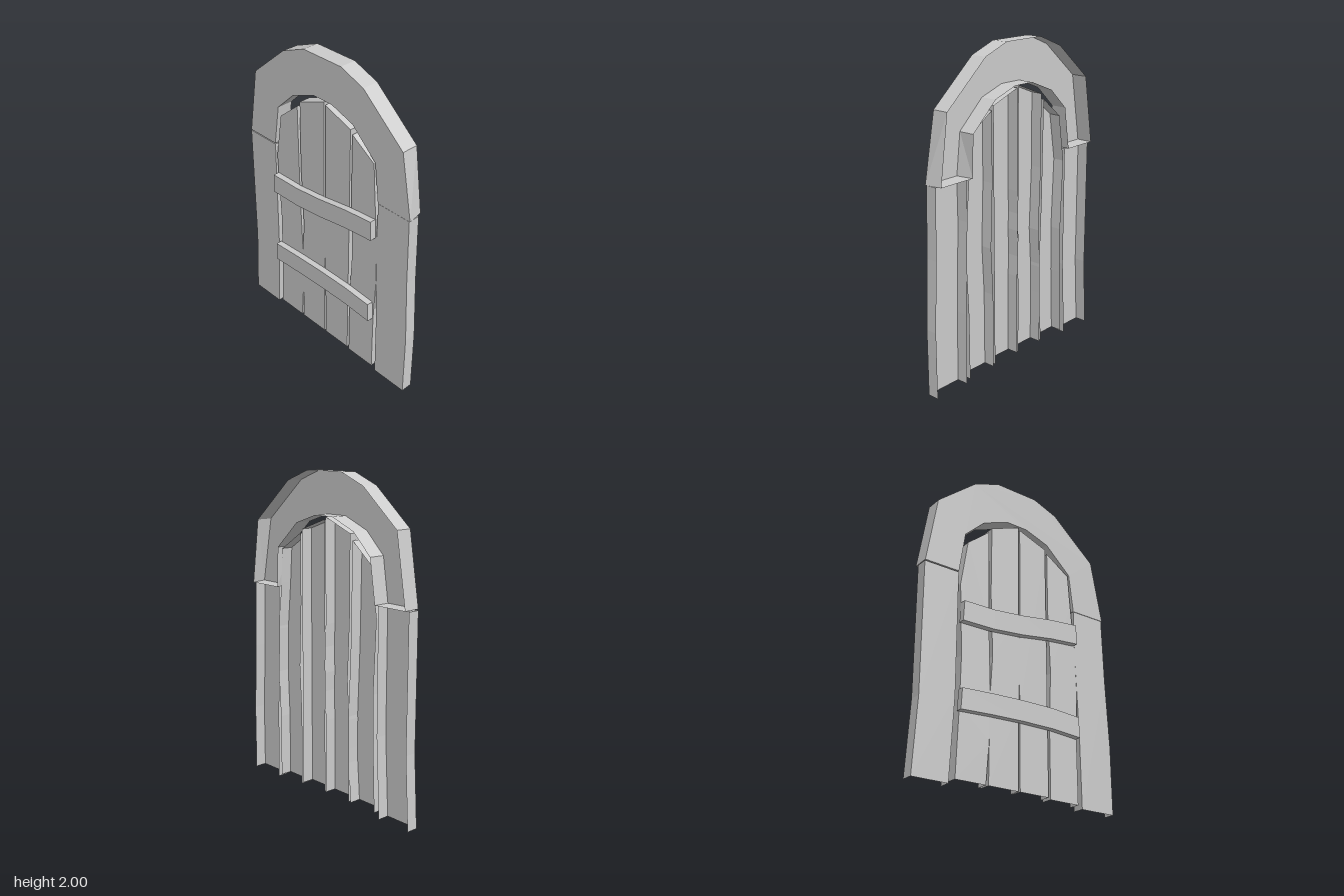
import * as THREE from 'three';

const material = new THREE.MeshStandardMaterial({ color: 0xcccccc, flatShading: true, side: THREE.DoubleSide });

// Open-fronted board: a back panel at x0 with walls reaching to x1.
// outline: [z, y] points, counter-clockwise seen from +x.
// The edge from the last point to the first is left open if openEnd is set.
// lean(z, y) shifts the rim of the walls along z.
function shell(name, outline, x0, x1, { openEnd = false, lean = () => 0 } = {}) {
  const positions = [];
  const n = outline.length;
  const back = outline.map(([z, y]) => [x0, y, z]);
  const rim = outline.map(([z, y]) => [x1, y, z + lean(z, y)]);
  const tri = (a, b, c) => positions.push(...a, ...b, ...c);

  // Back panel, facing -x
  const flat = outline.map(([z, y]) => new THREE.Vector2(-z, y));
  for (const [a, b, c] of THREE.ShapeUtils.triangulateShape(flat, [])) tri(back[a], back[c], back[b]);

  // Side walls
  for (let i = 0; i < (openEnd ? n - 1 : n); i++) {
    const j = (i + 1) % n;
    tri(back[i], back[j], rim[j]);
    tri(back[i], rim[j], rim[i]);
  }
  const geometry = new THREE.BufferGeometry();
  geometry.setAttribute('position', new THREE.Float32BufferAttribute(positions, 3));
  geometry.computeVertexNormals();
  const mesh = new THREE.Mesh(geometry, material);
  mesh.name = name;
  return mesh;
}

// Each board: its -z edge going up, then its +z edge going down
const BOARDS = {
  leftPost: [
    [[0.46, 0], [0.455, 0.45], [0.445, 0.72], [0.435, 1.0], [0.437, 1.273]],
    [[0.67, 1.273], [0.68, 0.85], [0.70, 0.42], [0.70, 0]],
  ],
  plank1: [
    [[0.225, 0.02], [0.225, 0.5], [0.24, 0.8], [0.225, 1.2], [0.225, 1.625]],
    [[0.395, 1.515], [0.41, 1.3], [0.435, 1.02], [0.443, 0.72], [0.43, 0.42], [0.43, 0.02]],
  ],
  plank2: [
    [[0.008, 0.03], [0.008, 0.55], [-0.002, 0.8], [0.008, 1.1], [0.008, 1.722]],
    [[0.21, 1.65], [0.21, 0.03]],
  ],
  plank3: [
    [[-0.207, 0.03], [-0.205, 0.55], [-0.19, 0.8], [-0.207, 1.2], [-0.207, 1.657]],
    [[-0.003, 1.737], [-0.003, 1.1], [0.008, 0.85], [-0.003, 0.5], [-0.003, 0.03]],
  ],
  plank4: [
    [[-0.425, 0.03], [-0.41, 0.45], [-0.405, 0.75], [-0.425, 1.2], [-0.38, 1.495]],
    [[-0.23, 1.62], [-0.22, 1.0], [-0.203, 0.55], [-0.207, 0.28], [-0.225, 0.03]],
  ],
  rightPost: [
    [[-0.695, 0], [-0.67, 0.45], [-0.672, 1.273]],
    [[-0.44, 1.273], [-0.44, 0.5], [-0.465, 0]],
  ],
};

const ARCH_OUTER = [[-0.67, 1.28], [-0.6, 1.71], [-0.34, 1.93], [-0.165, 2.0], [0.13, 2.0], [0.3, 1.937], [0.6, 1.68], [0.677, 1.275]];
const ARCH_INNER = [[0.435, 1.275], [0.405, 1.525], [0.225, 1.69], [0.06, 1.745], [-0.09, 1.745], [-0.265, 1.675], [-0.4, 1.545], [-0.44, 1.28]];

// Lower edges of the crosspieces, from -z to +z
const BRACES = {
  upperBrace: [[-0.425, 0.95], [-0.21, 0.953], [0, 0.975], [0.22, 1.01], [0.425, 1.03]],
  lowerBrace: [[-0.425, 0.413], [-0.21, 0.425], [0, 0.432], [0.22, 0.432], [0.425, 0.418]],
};

export function createModel() {
  const door = new THREE.Group();
  door.name = 'archedDoor';

  // Posts and planks, open at the foot
  for (const [name, [up, down]] of Object.entries(BOARDS)) {
    door.add(shell(name, [...up, ...down].reverse(), -0.035, 0.04, { openEnd: true }));
    // start the loop at the +z foot so the open edge is the bottom one
  }

  // Arch, with its left foot leaning slightly inward at the rim
  door.add(shell('arch', [...ARCH_OUTER, ...ARCH_INNER].reverse(), -0.036, 0.069, {
    lean: (z, y) => (z > 0.42 && y < 1.3 ? -0.02 : 0),
  }));

  // Crosspieces on the back
  for (const [name, lower] of Object.entries(BRACES)) {
    const upper = lower.map(([z, y]) => [z * 0.985, y + 0.127]);
    door.add(shell(name, [...upper, ...lower.slice().reverse()].reverse(), -0.075, -0.035));
  }
  return door;
}
